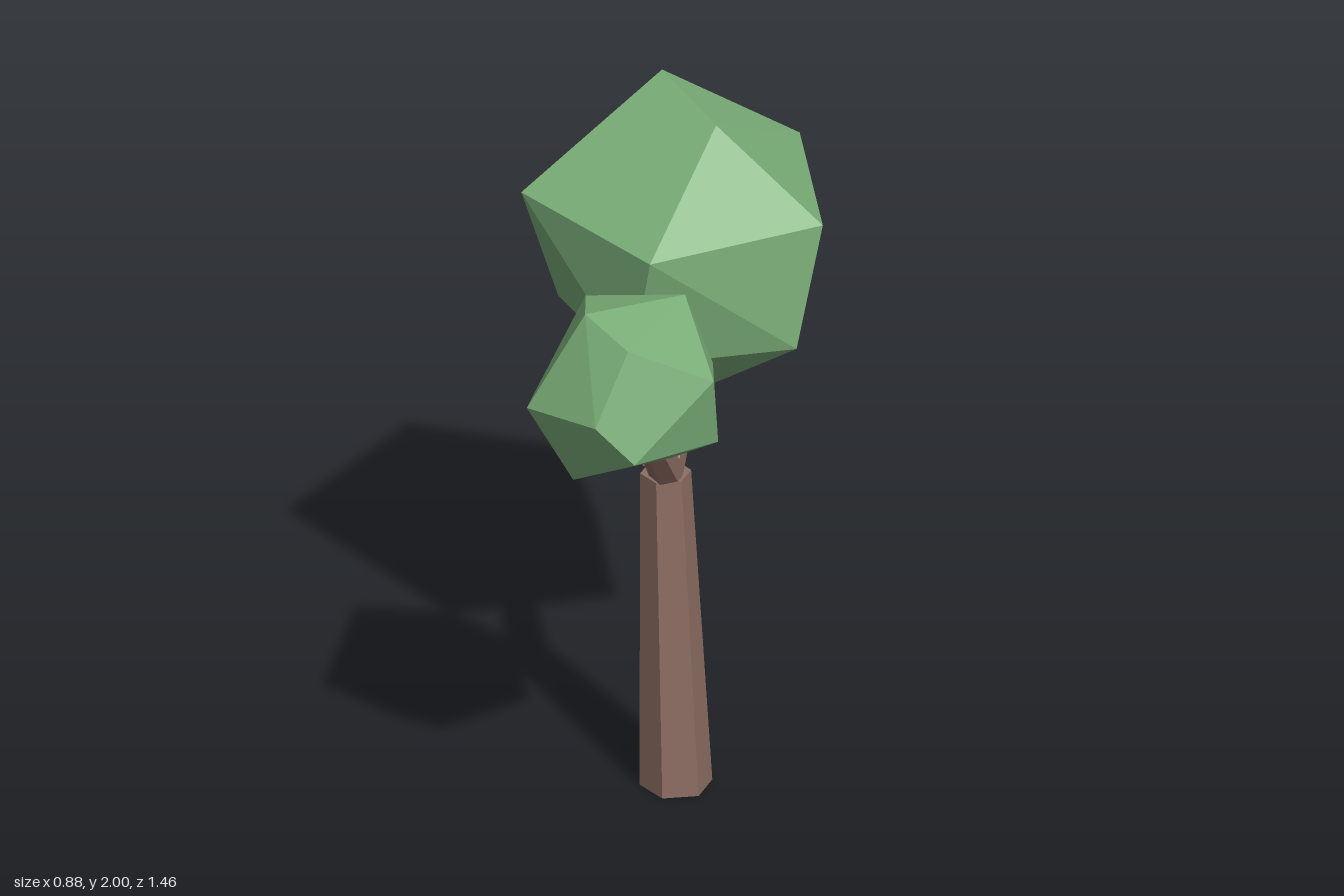
import * as THREE from 'three';
import { ConvexGeometry } from 'three/addons/geometries/ConvexGeometry.js';

const bark = new THREE.MeshStandardMaterial({ color: 0x8d6e63, flatShading: true });
const leaf = new THREE.MeshStandardMaterial({ color: 0x7cb07a, flatShading: true });
const SIDES = 6;

function part(name, geometry, material) {
  const mesh = new THREE.Mesh(geometry, material);
  mesh.name = name;
  return mesh;
}

// Upright tapered prism whose top is shifted sideways, rings stay level
function leaningPrism(base, top, r0, r1) {
  const h = top.y - base.y;
  const geo = new THREE.CylinderGeometry(r1, r0, h, SIDES).translate(0, h / 2, 0);
  const p = geo.attributes.position;
  for (let i = 0; i < p.count; i++) {
    const t = p.getY(i) / h;
    p.setX(i, p.getX(i) + THREE.MathUtils.lerp(base.x, top.x, t));
    p.setZ(i, p.getZ(i) + THREE.MathUtils.lerp(base.z, top.z, t));
  }
  geo.computeVertexNormals();
  return geo;
}

// Tapered prism running from point a to point b
function limb(a, b, r0, r1) {
  const dir = b.clone().sub(a);
  const len = dir.length();
  const turn = new THREE.Quaternion().setFromUnitVectors(new THREE.Vector3(0, 1, 0), dir.normalize());
  return new THREE.CylinderGeometry(r1, r0, len, SIDES)
    .translate(0, len / 2, 0)
    .applyQuaternion(turn)
    .translate(a.x, a.y, a.z);
}

// Faceted clump of leaves wrapped around a few corner points
const clump = (corners) => new ConvexGeometry(corners.map((c) => new THREE.Vector3(...c)));

const V = (x, y, z) => new THREE.Vector3(x, y, z);

export function createModel() {
  const tree = new THREE.Group();
  tree.name = 'tree';

  // Trunk and its fork
  tree.add(part('trunk', leaningPrism(V(0.103, 0, -0.045), V(0.087, 0.98, -0.01), 0.1, 0.07), bark));
  tree.add(part('frontBranch', limb(V(0.095, 0.985, 0), V(0.127, 1.31, 0.285), 0.05, 0.034), bark));
  tree.add(part('backBranch', limb(V(0.077, 0.98, -0.015), V(0.09, 1.26, -0.175), 0.058, 0.042), bark));

  // Large crown over the back branch: top, shoulder ring, lower ring, bottom
  tree.add(part('largeCrown', clump([
    [-0.075, 2.0, -0.39], [0.147, 1.955, -0.23],
    [-0.245, 1.71, -0.675], [0.19, 1.68, -0.735], [0.44, 1.68, -0.277],
    [0.085, 1.68, 0.1], [-0.376, 1.7, -0.112], [-0.44, 1.525, -0.337],
    [0.39, 1.32, -0.21], [0.118, 1.243, -0.67], [-0.36, 1.26, -0.345], [0.01, 1.32, 0.048],
    [0.083, 1.1, -0.275],
  ]), leaf));

  // Small crown over the front branch
  tree.add(part('smallCrown', clump([
    [0.075, 1.757, 0.55], [0.23, 1.71, 0.624], [0.248, 1.7, 0.252], [-0.023, 1.667, 0.302],
    [0.434, 1.6, 0.508], [0.175, 1.512, 0.727], [-0.066, 1.475, 0.624], [-0.108, 1.434, 0.45],
    [0.31, 1.475, 0.203], [0.116, 1.4, 0.188], [0.42, 1.375, 0.44], [0.275, 1.4, 0.69],
    [0.246, 1.24, 0.345], [0.06, 1.265, 0.6], [-0.035, 1.297, 0.38],
  ]), leaf));

  return tree;
}
